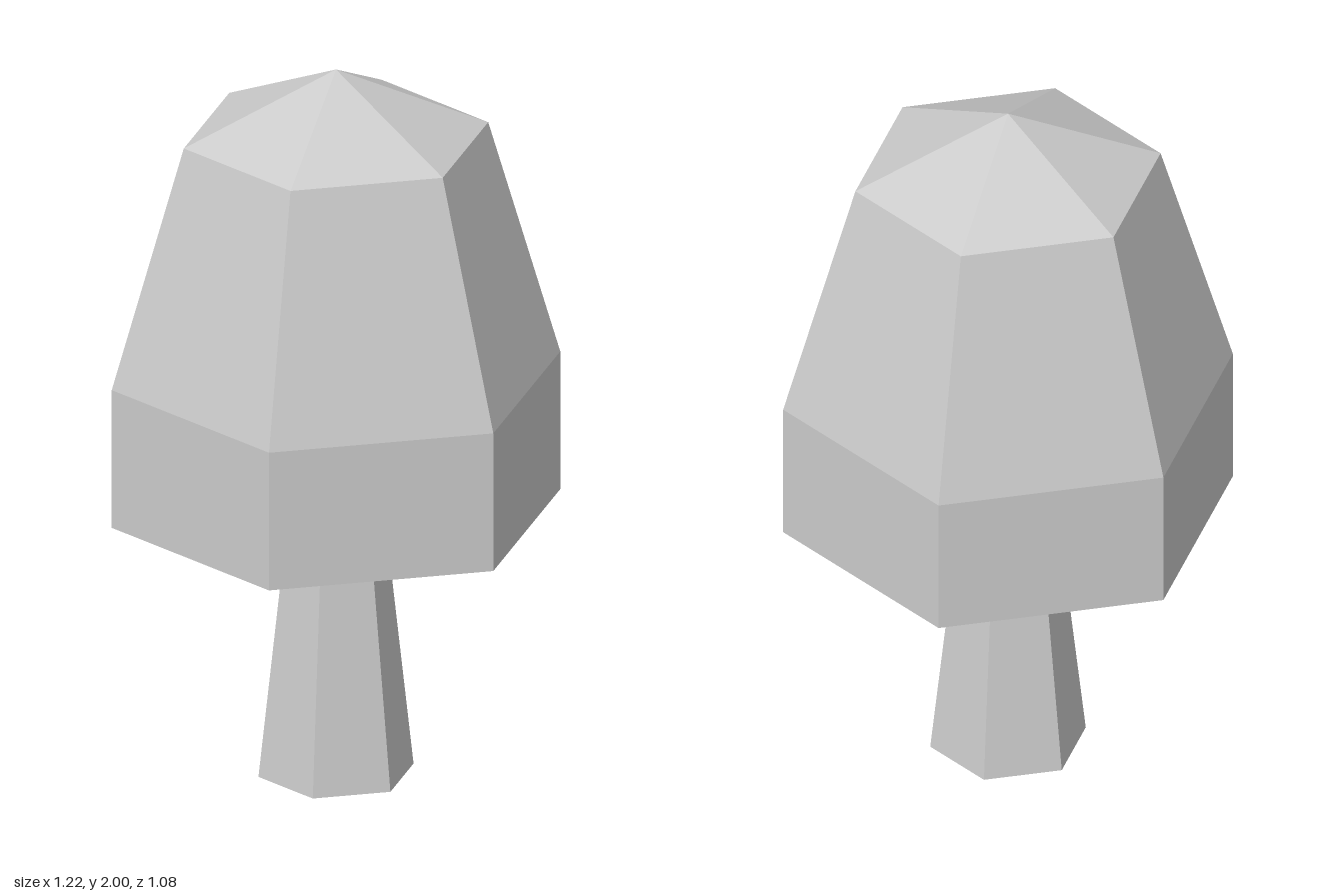
import * as THREE from 'three';

const SIDES = 6;
const TWIST = 0.041; // slight turn of the hexagon about the vertical axis

// Six-sided solid from a [radius, height] profile running bottom to top
function hexSolid(name, profile, material) {
  const points = profile.map(([r, y]) => new THREE.Vector2(r, y));
  const geometry = new THREE.LatheGeometry(points, SIDES, Math.PI / 2 - TWIST);
  const mesh = new THREE.Mesh(geometry, material);
  mesh.name = name;
  return mesh;
}

export function createModel() {
  const model = new THREE.Group();
  model.name = 'tree';
  const material = new THREE.MeshStandardMaterial({ color: 0xcccccc, flatShading: true });

  // Tapered trunk, closed at the foot
  model.add(hexSolid('trunk', [[0, 0], [0.211, 0], [0.146, 0.593]], material));

  // Faceted crown: sloped underside, upright band, taper and pointed cap
  model.add(hexSolid('crown', [
    [0, 0.593], [0.146, 0.593], [0.61, 0.747], [0.61, 1.14], [0.414, 1.812], [0, 2],
  ], material));

  return model;
}
